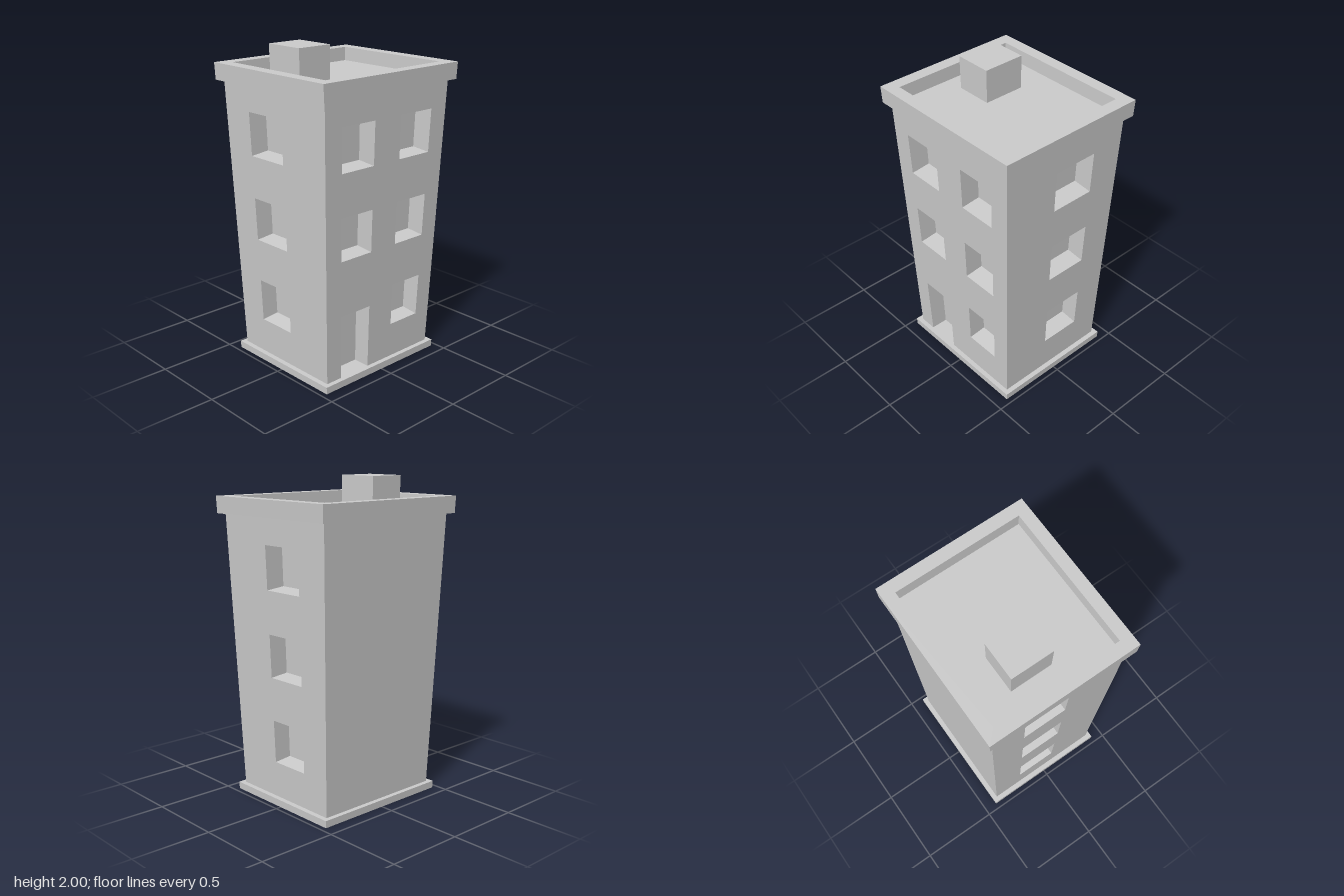
import * as THREE from 'three';

const TAPER = 0.0865;                 // widening per unit of height
const HX = 0.433, HZ = 0.388;         // wall half sizes before the flare
const Y0 = 0.045, Y1 = 1.775;         // bottom and top of the walls
const DEPTH = 0.11;                   // depth of the window and door recesses
const SILLS = [0.27, 0.81, 1.345];
const WINDOW_H = 0.268;
const material = new THREE.MeshStandardMaterial({ color: 0xcccccc, flatShading: true });

// Flares a finished geometry outward with height and wraps it in a named mesh
function part(name, geometry) {
  const g = geometry.index ? geometry.toNonIndexed() : geometry;
  const p = g.attributes.position;
  for (let i = 0; i < p.count; i++) {
    const s = 1 + TAPER * p.getY(i);
    p.setXYZ(i, p.getX(i) * s, p.getY(i), p.getZ(i) * s);
  }
  g.computeVertexNormals();
  const mesh = new THREE.Mesh(g, material);
  mesh.name = name;
  return mesh;
}

function box(name, x0, x1, y0, y1, z0, z1) {
  const g = new THREE.BoxGeometry(x1 - x0, y1 - y0, z1 - z0);
  return part(name, g.translate((x0 + x1) / 2, (y0 + y1) / 2, (z0 + z1) / 2));
}

const polygon = (points, Type = THREE.Shape) => new Type(points.map(([x, y]) => new THREE.Vector2(x, y)));
const rect = (x0, x1, y0, y1) => [[x0, y0], [x1, y0], [x1, y1], [x0, y1]];

// Wall with window holes, its outer face at distance `out`, turned about y
function wall(name, outline, windowSpans, out, turn) {
  const shape = polygon(outline);
  for (const [a, b] of windowSpans) {
    for (const y of SILLS) {
      // the ground floor space above the door stays closed
      if (name === 'frontWall' && a < 0 && y === SILLS[0]) continue;
      shape.holes.push(polygon(rect(a, b, y, y + WINDOW_H).reverse(), THREE.Path));
    }
  }
  const g = new THREE.ExtrudeGeometry(shape, { depth: DEPTH, bevelEnabled: false });
  // sills rise slightly towards the inside
  const p = g.attributes.position;
  for (let i = 0; i < p.count; i++) {
    const onSill = SILLS.some((y) => Math.abs(p.getY(i) - y) < 1e-4);
    if (onSill && p.getZ(i) < 1e-4) p.setY(i, p.getY(i) + 0.012);
  }
  return part(name, g.translate(0, 0, out - DEPTH).rotateY(turn));
}

export function createModel() {
  const group = new THREE.Group();
  group.name = 'apartmentBuilding';

  // Plinth
  group.add(box('plinth', -0.465, 0.465, 0, Y0, -0.418, 0.418));

  // Front wall, with the doorway cut up from its lower edge
  const front = [[-HX, Y0], [-0.32, Y0], [-0.32, 0.455], [-0.097, 0.455], [-0.097, Y0],
    [HX, Y0], [HX, Y1], [-HX, Y1]];
  group.add(wall('frontWall', front, [[-0.322, -0.096], [0.093, 0.32]], HZ, 0));

  // Blank back wall
  group.add(wall('backWall', rect(-HX, HX, Y0, Y1), [], HZ, Math.PI));

  // Side walls between front and back, one column of windows each
  const inner = HZ - DEPTH;
  group.add(wall('leftWall', rect(-inner, inner, Y0, Y1), [[-0.065, 0.195]], HX, Math.PI / 2));
  group.add(wall('rightWall', rect(-inner, inner, Y0, Y1), [[-0.195, 0.065]], HX, -Math.PI / 2));

  // Core that closes the back of every recess
  group.add(box('core', DEPTH - HX, HX - DEPTH, Y0, Y1, -inner, inner));

  // Overhanging parapet ring and sunken roof
  const ring = polygon(rect(-0.465, 0.465, -0.418, 0.418));
  ring.holes.push(polygon(rect(-0.396, 0.396, -0.352, 0.352).reverse(), THREE.Path));
  const parapet = new THREE.ExtrudeGeometry(ring, { depth: 0.105, bevelEnabled: false });
  group.add(part('parapet', parapet.rotateX(-Math.PI / 2).translate(0, Y1, 0)));
  group.add(box('roof', -0.396, 0.396, Y1, 1.793, -0.352, 0.352));

  // Rooftop block
  group.add(box('rooftopBlock', -0.291, -0.089, 1.785, 2, -0.18, 0.05));

  return group;
}
